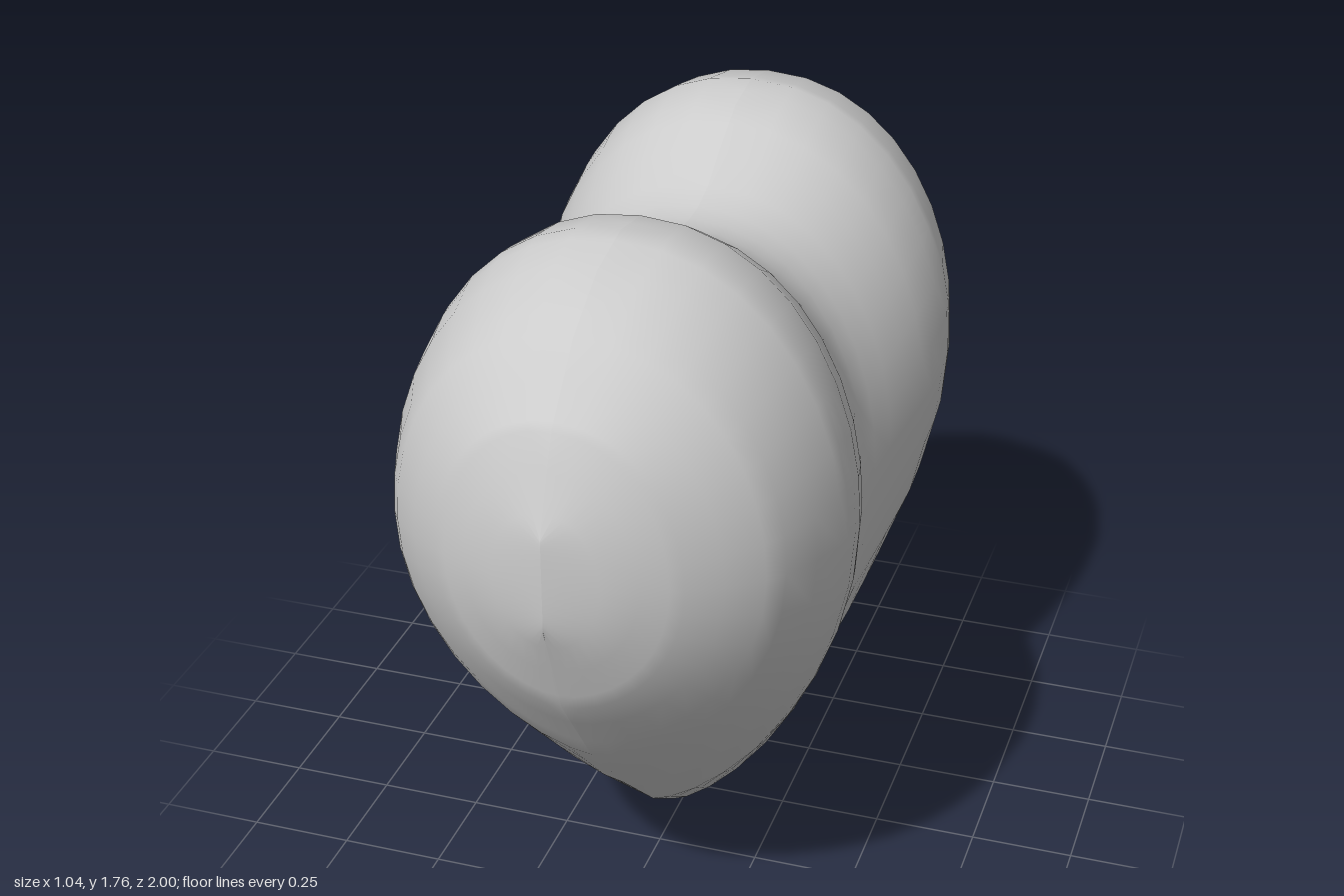
import * as THREE from 'three';

// Profiles along z, from the middle of the heart to the outer end of a lobe
const TOP = [[0, 1.595], [0.06, 1.6], [0.135, 1.622], [0.22, 1.675], [0.35, 1.745], [0.48, 1.765],
  [0.63, 1.735], [0.78, 1.65], [0.92, 1.5], [1, 1.29]];
const BOTTOM = [[0, 0], [0.135, 0.045], [0.3, 0.16], [0.52, 0.36], [0.73, 0.58], [0.905, 0.82], [1, 1.07]];
const WIDTH = [[0, 0.44], [0.06, 0.446], [0.135, 0.463], [0.22, 0.485], [0.35, 0.513], [0.42, 0.52],
  [0.48, 0.52], [0.52, 0.515], [0.63, 0.49], [0.73, 0.45], [0.78, 0.42], [0.85, 0.35],
  [0.905, 0.28], [0.95, 0.195], [0.98, 0.12], [1, 0]];
const WIDEST = [[0, 0.95], [0.22, 1.03], [0.48, 1.1], [1, 1.18]];

function sample(table, z) {
  for (let i = 1; i < table.length; i++) {
    const [z0, v0] = table[i - 1], [z1, v1] = table[i];
    if (z <= z1) return THREE.MathUtils.lerp(v0, v1, (z - z0) / (z1 - z0));
  }
  return table[table.length - 1][1];
}

// One side of the heart: half cross-sections stacked along z
function heartSide(side) {
  const STEPS = 18;
  const half = [...new Set([...TOP, ...BOTTOM, ...WIDTH].map((p) => p[0]))].sort((a, b) => a - b);
  const rows = [...half.slice(1).reverse().map((z) => -z), ...half];
  const positions = [], index = [];
  for (const z of rows) {
    const d = Math.abs(z);
    const top = sample(TOP, d), bottom = sample(BOTTOM, d);
    const width = sample(WIDTH, d), middle = sample(WIDEST, d);
    for (let j = 0; j <= STEPS; j++) {
      const t = Math.cos((j / STEPS) * Math.PI);
      // Full and round above, tapering to a keel below
      const power = t > 0 ? 0.46 : 0.75 - 0.25 * d * d;
      const x = width * Math.pow(Math.max(0, 1 - t * t), power);
      const y = middle + (t > 0 ? t * (top - middle) : t * (middle - bottom));
      positions.push(side * x, y, z);
    }
  }
  const n = STEPS + 1;
  for (let i = 0; i < rows.length - 1; i++) {
    for (let j = 0; j < STEPS; j++) {
      const a = i * n + j, b = a + 1, c = a + n, e = c + 1;
      if (side > 0) index.push(a, c, b, b, c, e);
      else index.push(a, b, c, b, e, c);
    }
  }
  const geometry = new THREE.BufferGeometry();
  geometry.setAttribute('position', new THREE.Float32BufferAttribute(positions, 3));
  geometry.setIndex(index);
  geometry.computeVertexNormals();
  return geometry;
}

export function createModel() {
  const group = new THREE.Group();
  group.name = 'heart';
  const material = new THREE.MeshStandardMaterial({ color: 0xcccccc });
  // Two mirrored sides meet in a crease along x = 0
  for (const [name, side] of [['leftSide', 1], ['rightSide', -1]]) {
    const mesh = new THREE.Mesh(heartSide(side), material);
    mesh.name = name;
    group.add(mesh);
  }
  return group;
}
